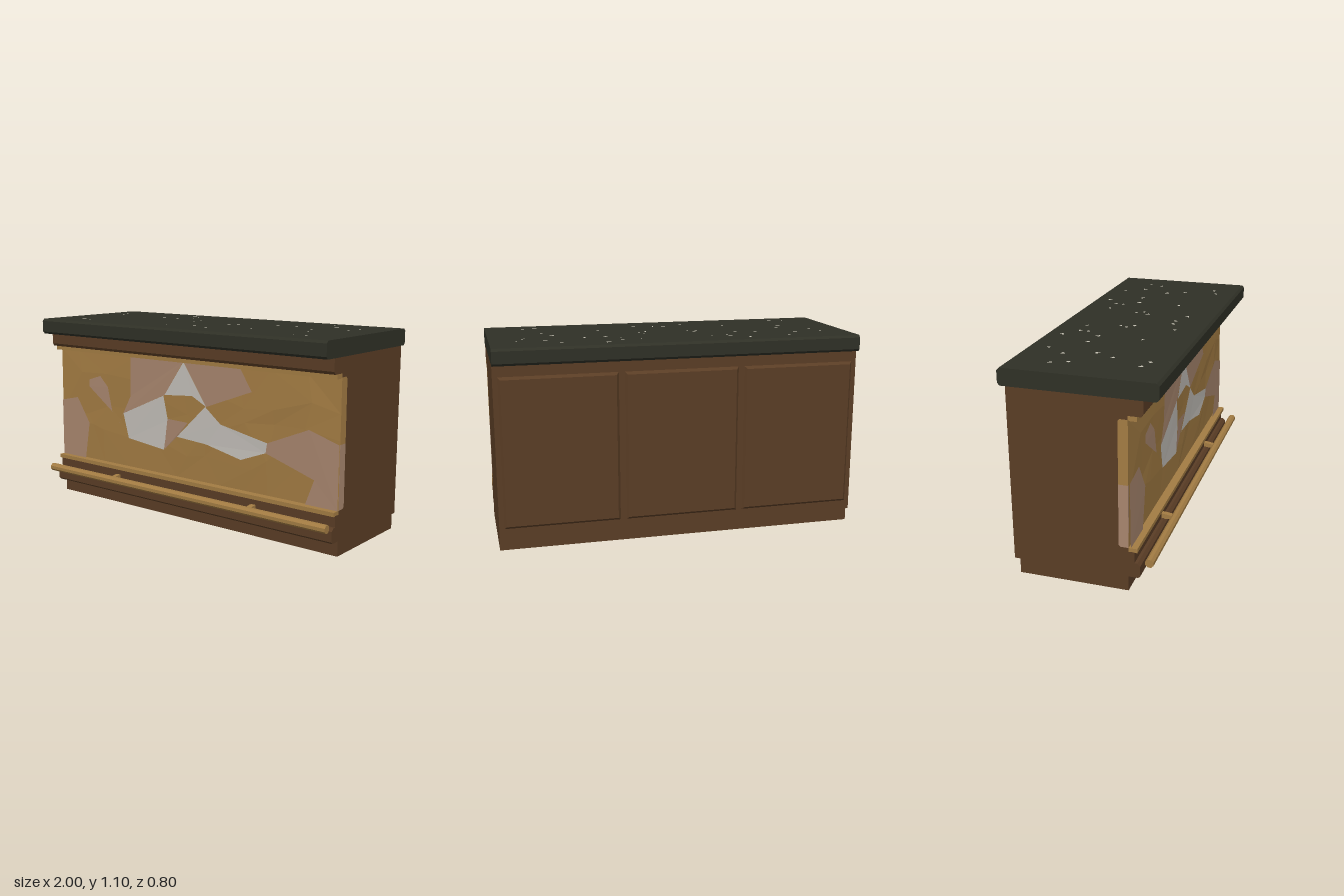
import * as THREE from 'three';

const mat = (name, color, side = THREE.FrontSide) =>
  Object.assign(new THREE.MeshStandardMaterial({ color, side }), { name });

// Small seeded generator for the stone facets
function seeded(seed) {
  return () => {
    seed = (seed * 16807) % 2147483647;
    return seed / 2147483647;
  };
}

// Extrudes a [z, y] outline along x
function extrudeX(profile, x0 = -1, x1 = 1) {
  const shape = new THREE.Shape(profile.map(([z, y]) => new THREE.Vector2(-z, y)));
  const g = new THREE.ExtrudeGeometry(shape, { depth: x1 - x0, bevelEnabled: false });
  return g.translate(0, 0, x0).rotateY(Math.PI / 2);
}

function fromPoints(points) {
  const g = new THREE.BufferGeometry().setFromPoints(points);
  g.computeVertexNormals();
  return g;
}

export function createModel() {
  const wood = mat('dark wood', 0x5a3d25);
  const gold = mat('golden stone and brass', 0xa37c43);
  const tan = mat('tan stone', 0xa8866e);
  const pale = mat('pale stone', 0xc2beb8);
  const slate = mat('dark countertop', 0x2f3026);
  const model = new THREE.Group();
  const add = (name, geometry, material) => {
    const mesh = new THREE.Mesh(geometry, material);
    mesh.name = name;
    model.add(mesh);
    return mesh;
  };

  // Cabinet with plinth, mouldings and a recess for the stone front
  add('cabinet', extrudeX([
    [-0.33, 0], [0.25, 0], [0.25, 0.08], [0.3, 0.08], [0.31, 0.09], [0.31, 0.145],
    [0.295, 0.16], [0.28, 0.16], [0.28, 0.22], [0.25, 0.22], [0.25, 0.24], [0.21, 0.24],
    [0.2, 0.25], [0.2, 0.9], [0.21, 0.91], [0.25, 0.91], [0.25, 0.93], [0.315, 0.93],
    [0.325, 0.945], [0.325, 1.01], [-0.36, 1.01], [-0.36, 0.08], [-0.33, 0.08],
  ]), wood);

  // Countertop with chamfered long edges
  add('countertop', extrudeX([
    [-0.387, 1.01], [0.387, 1.01], [0.4, 1.023], [0.4, 1.087],
    [0.387, 1.1], [-0.387, 1.1], [-0.4, 1.087], [-0.4, 1.023],
  ]), slate);

  // Trims above and below the stone front
  add('lowerTrim', extrudeX([[0.25, 0.218], [0.295, 0.218], [0.295, 0.24], [0.25, 0.24]]), gold);
  add('upperTrim', extrudeX([
    [0.25, 0.91], [0.262, 0.905], [0.295, 0.905], [0.295, 0.93], [0.25, 0.93],
  ]), gold);

  // Stone slab: golden core, two-tone ends
  const upper = [[0.25, 0.575], [0.25, 0.91], [0.21, 0.91], [0.2, 0.9], [0.2, 0.575]];
  const lower = [[0.25, 0.24], [0.25, 0.575], [0.2, 0.575], [0.2, 0.25], [0.21, 0.24]];
  add('stoneSlabUpper', extrudeX(upper), gold);
  add('stoneSlabLower', extrudeX(lower, -0.97, 0.97), gold);
  for (const s of [-1, 1]) {
    add('stoneSlabEnd', extrudeX(lower, Math.min(s, s * 0.97), Math.max(s, s * 0.97)), tan);
  }

  // Faceted golden relief
  const rand = seeded(77);
  const nx = 10, ny = 4, grid = [];
  for (let j = 0; j <= ny; j++) {
    for (let i = 0; i <= nx; i++) {
      const edgeX = i === 0 || i === nx, edgeY = j === 0 || j === ny;
      grid.push(new THREE.Vector3(
        -1 + (2 * i) / nx + (edgeX ? 0 : (rand() - 0.5) * 0.13),
        0.24 + (0.67 * j) / ny + (edgeY ? 0 : (rand() - 0.5) * 0.11),
        edgeY ? 0.2505 : 0.251 + rand() * 0.007));
    }
  }
  const relief = [];
  for (let j = 0; j < ny; j++) {
    for (let i = 0; i < nx; i++) {
      const a = j * (nx + 1) + i, b = a + 1, c = b + nx + 1, d = c - 1;
      const ids = rand() < 0.5 ? [a, b, c, a, c, d] : [a, b, d, b, c, d];
      relief.push(...ids.map((k) => grid[k]));
    }
  }
  add('stoneRelief', fromPoints(relief), gold);

  // Irregular tan and pale stone veins
  const vein = (name, material, outline) => {
    const flat = outline.map(([x, y]) => new THREE.Vector2(x, y));
    if (THREE.ShapeUtils.isClockWise(flat)) flat.reverse();
    const pts = flat.map((p) => new THREE.Vector3(p.x, p.y, 0.2585 + rand() * 0.0045));
    const tris = THREE.ShapeUtils.triangulateShape(flat, []);
    add(name, fromPoints(tris.flat().map((k) => pts[k])), material);
  };
  [
    [[-0.4, 0.908], [0, 0.908], [-0.14, 0.705], [-0.47, 0.56], [-0.51, 0.49], [-0.41, 0.67]],
    [[0, 0.908], [0.39, 0.908], [0.47, 0.785], [0.16, 0.67]],
    [[-0.755, 0.735], [-0.66, 0.765], [-0.595, 0.705], [-0.56, 0.56], [-0.755, 0.695]],
    [[-1, 0.585], [-0.86, 0.615], [-0.76, 0.465], [-0.8, 0.24], [-1, 0.24]],
    [[0.57, 0.525], [0.825, 0.63], [1, 0.575], [1, 0.24], [0.81, 0.24], [0.86, 0.375], [0.56, 0.47]],
    [[-0.12, 0.57], [0.03, 0.565], [-0.05, 0.475], [-0.15, 0.385]],
  ].forEach((p) => vein('tanVein', tan, p));
  [
    [[-0.47, 0.56], [-0.15, 0.7], [-0.12, 0.56], [-0.15, 0.385], [-0.43, 0.415]],
    [[0, 0.905], [0.16, 0.67], [0.06, 0.72], [-0.14, 0.705]],
    [[0.155, 0.67], [0.26, 0.585], [0.57, 0.525], [0.56, 0.47], [0.4, 0.41], [0.16, 0.46], [-0.05, 0.475]],
  ].forEach((p) => vein('paleVein', pale, p));

  // Foot rail on two tapered brackets
  add('footRail', new THREE.CylinderGeometry(0.023, 0.023, 2, 8)
    .rotateY(Math.PI / 8).rotateZ(Math.PI / 2).translate(0, 0.17, 0.356).toNonIndexed(), gold)
    .geometry.computeVertexNormals();
  for (const x of [-0.5, 0.5]) {
    add('railBracket', extrudeX([
      [0.275, 0.157], [0.295, 0.157], [0.34, 0.161], [0.34, 0.179], [0.295, 0.186], [0.275, 0.186],
    ], x - 0.015, x + 0.015), gold);
  }

  // Three raised back panels with bevelled edges
  for (const x of [-0.66, 0, 0.66]) {
    const g = new THREE.BoxGeometry(0.63, 0.82, 0.016);
    const p = g.attributes.position;
    for (let i = 0; i < p.count; i++) {
      if (p.getZ(i) < 0) {
        p.setX(i, p.getX(i) - Math.sign(p.getX(i)) * 0.015);
        p.setY(i, p.getY(i) - Math.sign(p.getY(i)) * 0.015);
      }
    }
    g.computeVertexNormals();
    add('backPanel', g.translate(x, 0.54, -0.367), wood);
  }

  // Pale triangular chips scattered symmetrically in the countertop
  const chips = [
    [0.39, -0.31], [0.63, -0.285], [0.195, -0.24], [0.3, -0.24], [0.3, -0.195], [0.705, -0.18],
    [0.855, -0.185], [0.485, -0.13], [0.37, -0.115], [0.82, -0.105], [0.145, -0.065],
    [0.165, -0.025], [0.125, 0.01], [0.65, -0.02], [0.7, 0.08], [0.37, 0.13], [0.03, 0.2],
    [0.14, 0.24], [0.79, 0.25], [0.715, 0.275],
  ];
  const chipPoints = [];
  for (const [x, z] of chips) {
    const r = 0.012 + rand() * 0.006, turn = rand() * 6.28;
    for (const s of [-1, 1]) {
      for (let k = 0; k < 3; k++) {
        const a = turn - s * k * 2.094;
        chipPoints.push(new THREE.Vector3(s * (x + r * Math.cos(a)), 1.1015, z + r * Math.sin(a)));
      }
    }
  }
  const chipGeometry = fromPoints(chipPoints);
  add('countertopChips', chipGeometry, mat('pale chips', 0xc4c0b2, THREE.DoubleSide));

  return model;
}
